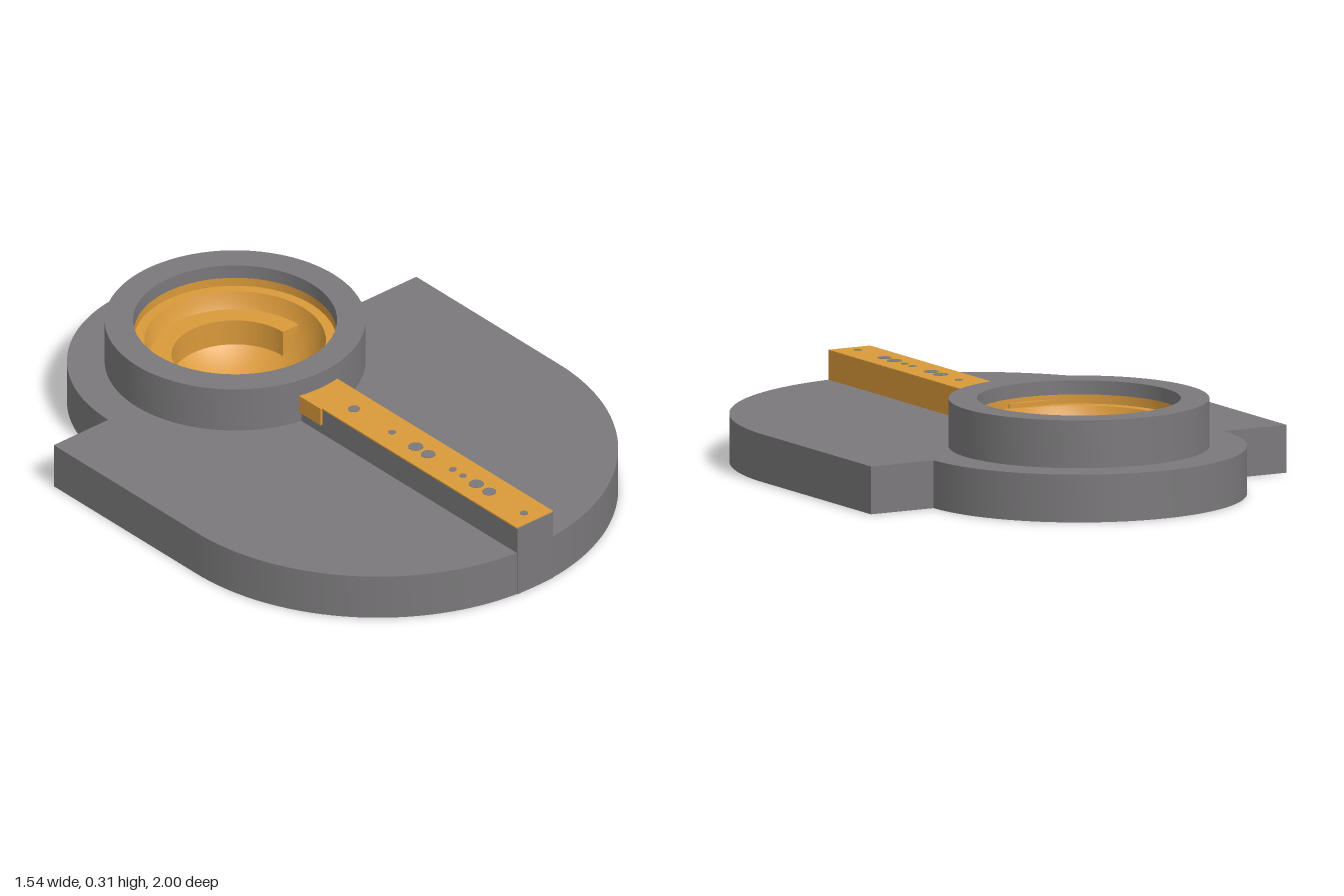
import * as THREE from 'three';
import { toCreasedNormals } from 'three/addons/utils/BufferGeometryUtils.js';

const CZ = -0.463; // z of the bowl axis

export function createModel() {
  const group = new THREE.Group();
  const grey = new THREE.MeshStandardMaterial({ color: 0x7a787a });
  grey.name = 'grey';
  const gold = new THREE.MeshStandardMaterial({ color: 0xd9993a });
  gold.name = 'gold';

  const add = (name, geometry, material, x = 0, y = 0, z = 0) => {
    const mesh = new THREE.Mesh(geometry, material);
    mesh.name = name;
    mesh.position.set(x, y, z);
    group.add(mesh);
    return mesh;
  };
  // Box given by its limits on each axis
  const addBox = (name, material, [x0, x1], [y0, y1], [z0, z1]) =>
    add(name, new THREE.BoxGeometry(x1 - x0, y1 - y0, z1 - z0), material,
      (x0 + x1) / 2, (y0 + y1) / 2, (z0 + z1) / 2);
  // Plan outline (shape y = -z) raised to a given height
  const slab = (shape, depth) => {
    const g = new THREE.ExtrudeGeometry(shape, { depth, bevelEnabled: false, curveSegments: 48 });
    return toCreasedNormals(g.rotateX(-Math.PI / 2), 0.5);
  };
  const circleHole = (r, y) => new THREE.Path().absarc(0, y, r, 0, Math.PI * 2, true);

  // Base plate: round front, square shoulders, round rear lobe
  const plate = new THREE.Shape();
  plate.moveTo(0.768, -CZ);
  plate.lineTo(0.535, -CZ);
  plate.absarc(0, -CZ, 0.537, 0, Math.PI, false);
  plate.lineTo(-0.768, -CZ);
  plate.lineTo(-0.768, -0.232);
  plate.absarc(0, -0.232, 0.768, Math.PI, Math.PI * 2, false);
  plate.closePath();
  plate.holes.push(circleHole(0.326, -CZ));
  add('basePlate', slab(plate, 0.155), grey);

  // Raised collar around the bowl
  const collar = new THREE.Shape().absarc(0, 0, 0.417, 0, Math.PI * 2, false);
  collar.holes.push(circleHole(0.326, 0));
  add('collar', slab(collar, 0.155), grey, 0, 0.155, CZ);

  // Bowl insert: short wall, flat ledge, then a spherical dish
  const profile = [[0.324, 0.265], [0.324, 0.235], [0.296, 0.235]].map(p => new THREE.Vector2(...p));
  const R = 0.3, start = Math.acos(0.075 / R);
  for (let i = 0; i <= 14; i++) {
    const a = start * (1 - i / 14);
    profile.push(new THREE.Vector2(R * Math.sin(a), 0.31 - R * Math.cos(a)));
  }
  add('bowl', toCreasedNormals(new THREE.LatheGeometry(profile, 48), 0.5), gold, 0, 0, CZ);

  // Half-ring shelf on the rear side of the bowl
  const shelf = new THREE.Shape();
  shelf.absarc(0, 0, 0.27, 0, Math.PI, false);
  shelf.absarc(0, 0, 0.203, Math.PI, 0, true);
  shelf.closePath();
  add('bowlShelf', slab(shelf, 0.1), gold, 0, 0.08, CZ);

  // Gold disc closing the underside
  add('bottomDisc', new THREE.CylinderGeometry(0.415, 0.415, 0.004, 64), gold, 0, 0.0015, CZ);

  // Channel bar running from the collar to the front edge
  addBox('channelBar', grey, [-0.076, 0.074], [0.001, 0.249], [-0.07, 1]);
  addBox('channelTop', gold, [-0.078, 0.076], [0.247, 0.252], [-0.07, 0.998]);
  addBox('channelSide', gold, [0.072, 0.077], [0.155, 0.25], [-0.07, 0.996]);
  addBox('channelTab', gold, [-0.084, -0.07], [0.19, 0.252], [-0.07, 0.05]);
  addBox('channelInnerEnd', gold, [-0.077, 0.077], [0.22, 0.25], [-0.155, -0.1]);

  // Small grey spots along the bar top: [z, radius]
  const spots = [[0.12, 0.02], [0.305, 0.013], [0.42, 0.025], [0.48, 0.024], [0.6, 0.013],
    [0.65, 0.012], [0.715, 0.025], [0.777, 0.023], [0.947, 0.013]];
  for (const [z, r] of spots) {
    add('barSpot', new THREE.CylinderGeometry(r, r, 0.003, 10), grey, -0.003, 0.252, z);
  }
  return group;
}
